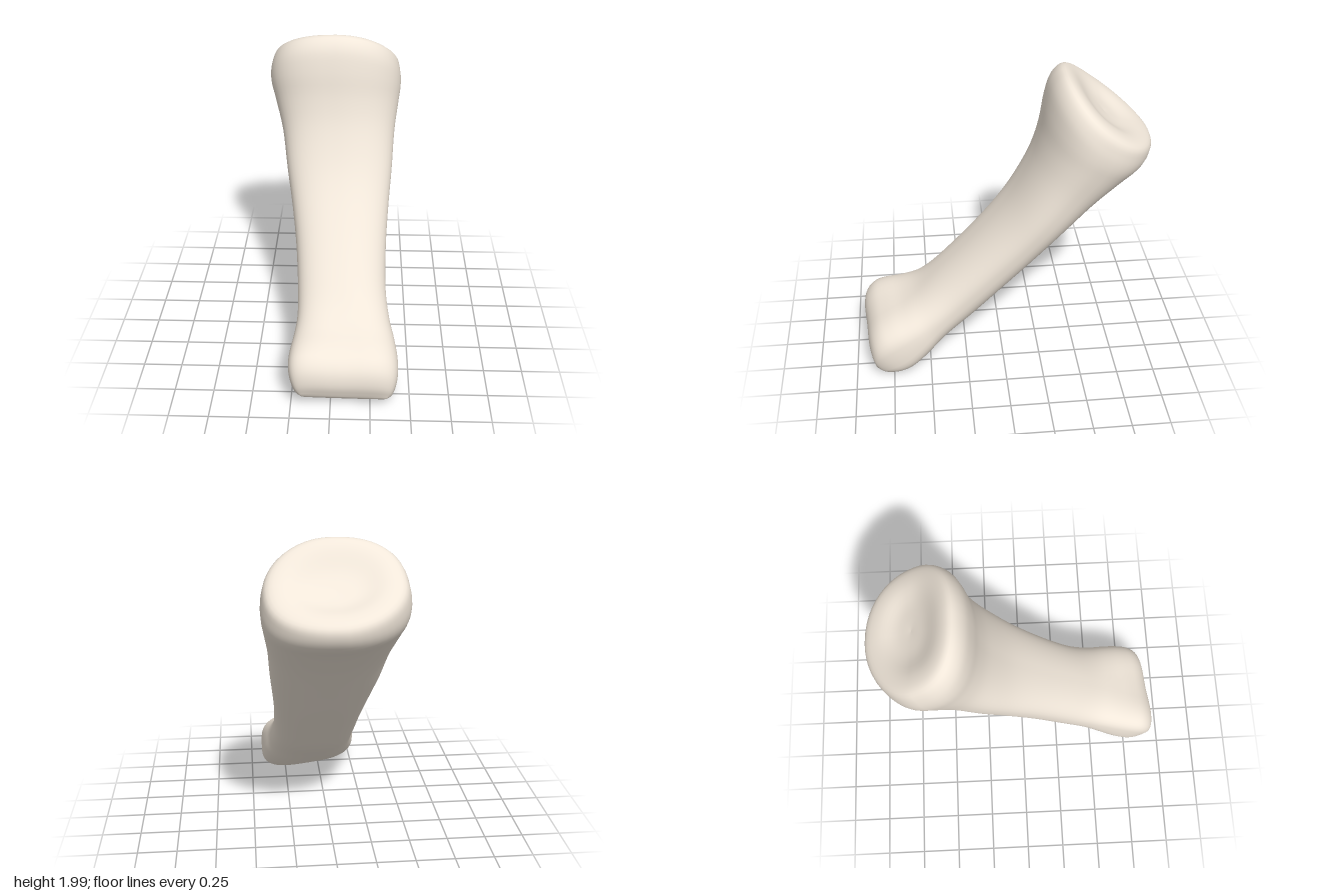
import * as THREE from 'three';

// Cross-sections from the lower knuckle to the upper socket:
// [front z, front y, back z, back y, min x, max x]
const SECTIONS = [
  // rounded knuckle
  [0.9, 0.105, 0.88, 0.075, -0.18, 0.355],
  [0.93, 0.2, 0.81, 0.03, -0.22, 0.39],
  [0.92, 0.3, 0.74, 0.022, -0.25, 0.415],
  [0.87, 0.375, 0.67, 0.035, -0.265, 0.425],
  [0.79, 0.42, 0.58, 0.085, -0.26, 0.42],
  [0.67, 0.465, 0.48, 0.155, -0.24, 0.4],
  // shaft
  [0.55, 0.535, 0.37, 0.235, -0.225, 0.37],
  [0.4, 0.67, 0.2, 0.365, -0.23, 0.345],
  [0.2, 0.87, 0.0, 0.565, -0.25, 0.345],
  [0.02, 1.07, -0.2, 0.775, -0.285, 0.36],
  [-0.1, 1.24, -0.4, 0.995, -0.325, 0.38],
  [-0.2, 1.44, -0.6, 1.21, -0.36, 0.395],
  // flared base and its rim
  [-0.255, 1.62, -0.78, 1.375, -0.41, 0.42],
  [-0.285, 1.79, -0.89, 1.46, -0.445, 0.435],
  [-0.325, 1.93, -0.94, 1.535, -0.44, 0.43],
  [-0.395, 2.0, -0.938, 1.605, -0.4, 0.4],
  // dished joint surface
  [-0.47, 1.96, -0.86, 1.655, -0.3, 0.3],
  [-0.56, 1.835, -0.75, 1.685, -0.16, 0.16],
  [-0.65, 1.745, -0.65, 1.745, 0, 0],
];
const SIDES = 48;
const STEPS = 72;

function boneGeometry() {
  const front = new THREE.CatmullRomCurve3(
    SECTIONS.map((s) => new THREE.Vector3(s[4], s[1], s[0])), false, 'catmullrom');
  const back = new THREE.CatmullRomCurve3(
    SECTIONS.map((s) => new THREE.Vector3(s[5], s[3], s[2])), false, 'catmullrom');
  const bend = (v, n) => Math.sign(v) * Math.pow(Math.abs(v), 2 / n);
  const positions = [];
  const index = [];

  for (let i = 0; i <= STEPS; i++) {
    const t = i / STEPS;
    const a = front.getPoint(t);
    const b = back.getPoint(t);
    const head = 1 - THREE.MathUtils.smoothstep(t, 0.18, 0.38);
    const rim = THREE.MathUtils.smoothstep(t, 0.62, 0.8);
    const cx = (a.x + b.x) / 2;
    const hx = (b.x - a.x) / 2;

    for (let j = 0; j < SIDES; j++) {
      const angle = (j / SIDES) * Math.PI * 2;
      const c = Math.cos(angle);
      const s = Math.sin(angle);
      // the front slopes away towards +x, the back is fuller towards -x
      const soft = s > 0 === c > 0;
      const shaftPower = soft ? 2.05 : 2.5;
      const n = THREE.MathUtils.lerp(s < 0 ? shaftPower - 0.2 * rim : shaftPower, 3.3, head);
      const u = bend(c, n);
      let v = bend(s, n);
      if (s > 0) v -= 0.09 * head * s * Math.exp(-((u / 0.45) ** 2)); // shallow groove
      const x = cx + hx * u;
      const tilt = 0.09 * head * (x - 0.08); // knuckle leans down towards +x
      const sag = rim * (x > 0 ? 0.32 : 0.15) * x * x; // rim dips at the sides
      positions.push(
        x,
        (a.y + b.y) / 2 + ((a.y - b.y) / 2) * v - tilt - 0.81 * sag,
        (a.z + b.z) / 2 + ((a.z - b.z) / 2) * v - tilt + 0.59 * sag,
      );
      if (i < STEPS) {
        const p = i * SIDES + j;
        const q = i * SIDES + ((j + 1) % SIDES);
        index.push(p, p + SIDES, q, q, p + SIDES, q + SIDES);
      }
    }
  }

  // close the narrow slit at the knuckle tip
  for (let j = 1; j < SIDES - 1; j++) index.push(0, j, j + 1);

  const geometry = new THREE.BufferGeometry();
  geometry.setAttribute('position', new THREE.Float32BufferAttribute(positions, 3));
  geometry.setIndex(index);
  geometry.computeVertexNormals();
  return geometry;
}

export function createModel() {
  const group = new THREE.Group();
  group.name = 'fingerBone';
  const bone = new THREE.Mesh(
    boneGeometry(),
    new THREE.MeshStandardMaterial({ color: 0xf0e6d9 }),
  );
  bone.name = 'boneShaftWithJointEnds';
  group.add(bone);
  return group;
}
